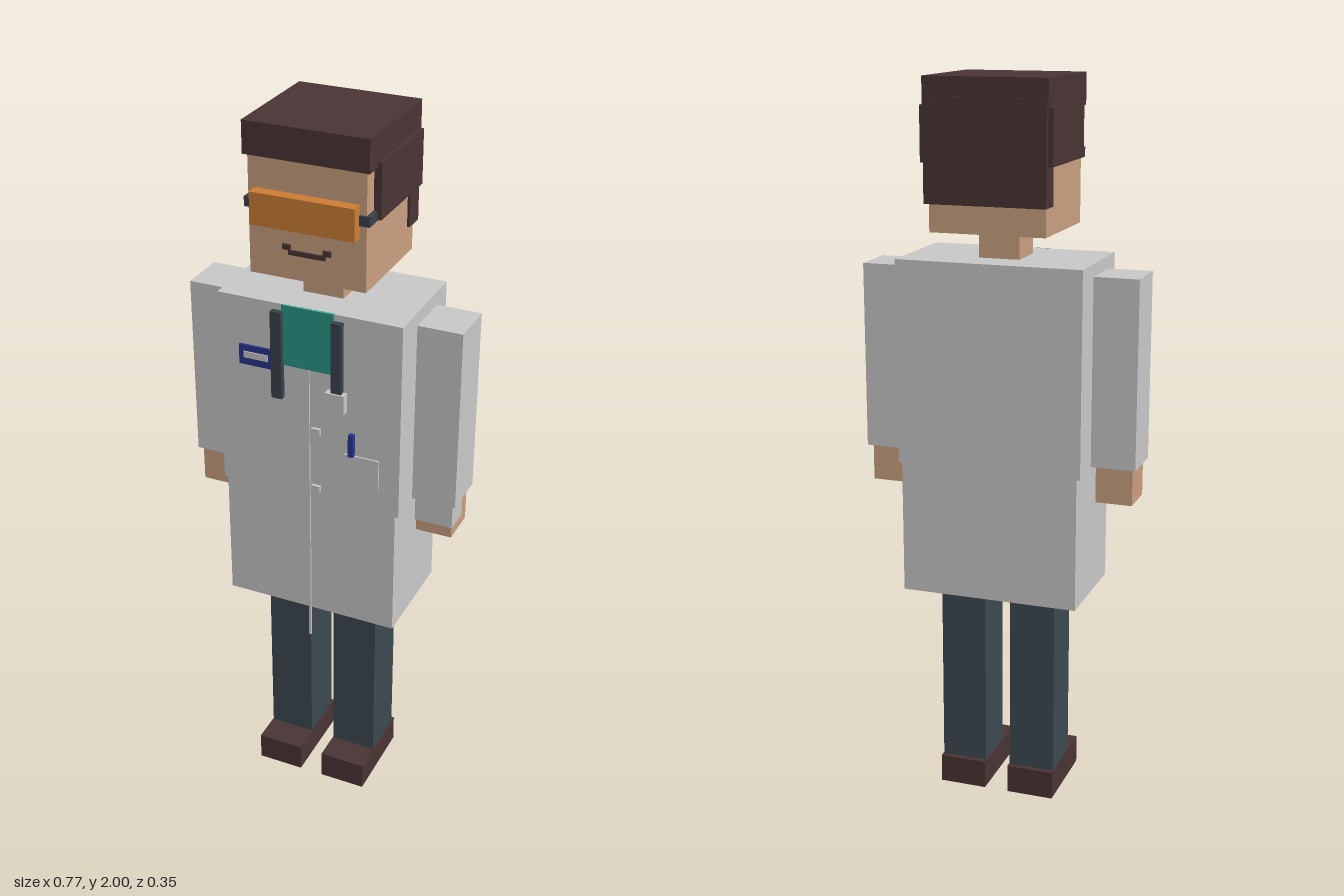
import * as THREE from 'three';

const mat = (name, color) => {
  const m = new THREE.MeshStandardMaterial({ color });
  m.name = name;
  return m;
};

export function createModel() {
  const model = new THREE.Group();
  model.name = 'figure';
  const skin = mat('skin', 0xc9a080);
  const brown = mat('dark brown', 0x4a3434);
  const grey = mat('coat grey', 0xc8c8c8);
  const teal = mat('teal shirt', 0x2a9687);
  const slate = mat('trouser slate', 0x3c4850);
  const dark = mat('dark slate', 0x39424a);
  const orange = mat('orange lens', 0xcc7d34);
  const navy = mat('navy', 0x28348c);

  // box given by its limits on x, y and z
  const box = (name, m, x0, x1, y0, y1, z0, z1) => {
    const mesh = new THREE.Mesh(new THREE.BoxGeometry(x1 - x0, y1 - y0, z1 - z0), m);
    mesh.position.set((x0 + x1) / 2, (y0 + y1) / 2, (z0 + z1) / 2);
    mesh.name = name;
    model.add(mesh);
  };
  // the same box on both sides
  const pair = (name, m, x0, x1, ...rest) => {
    box(name + 'Left', m, x0, x1, ...rest);
    box(name + 'Right', m, -x1, -x0, ...rest);
  };

  // head and neck
  box('head', skin, -0.158, 0.158, 1.605, 1.92, -0.157, 0.143);
  box('neck', skin, -0.056, 0.056, 1.52, 1.61, -0.062, 0.048);

  // hair
  box('hairTop', brown, -0.168, 0.168, 1.915, 2, -0.172, 0.152);
  box('hairBack', brown, -0.165, 0.165, 1.68, 1.95, -0.177, -0.118);
  pair('hairSide', brown, 0.15, 0.178, 1.783, 1.928, -0.165, 0.102);

  // glasses
  box('lens', orange, -0.14, 0.14, 1.747, 1.832, 0.143, 0.176);
  box('glassesBand', dark, -0.168, 0.168, 1.78, 1.806, 0.05, 0.149);

  // mouth
  box('mouth', brown, -0.05, 0.05, 1.672, 1.684, 0.14, 0.149);
  pair('mouthCorner', brown, 0.044, 0.066, 1.684, 1.698, 0.14, 0.149);

  // coat
  box('coatBody', grey, -0.257, 0.257, 0.975, 1.53, -0.158, 0.141);
  box('coatSkirt', grey, -0.247, 0.247, 0.608, 0.975, -0.157, 0.14);
  box('coatSeam', grey, -0.003, 0.003, 0.515, 1.36, 0.138, 0.146);
  for (const y of [1.0, 1.175]) box('button', grey, 0.009, 0.034, y, y + 0.018, 0.138, 0.15);
  box('pocket', grey, 0.1, 0.2, 1.045, 1.135, 0.138, 0.146);
  box('pen', navy, 0.117, 0.131, 1.135, 1.2, 0.14, 0.155);

  // shirt opening, stethoscope and badge
  box('shirt', teal, -0.074, 0.072, 1.36, 1.53, 0.137, 0.145);
  box('tubeRight', dark, -0.1, -0.07, 1.265, 1.512, 0.138, 0.158);
  box('tubeLeft', dark, 0.069, 0.098, 1.315, 1.512, 0.138, 0.158);
  box('chestPiece', grey, 0.055, 0.108, 1.26, 1.315, 0.138, 0.163);
  box('badge', navy, -0.196, -0.1, 1.34, 1.396, 0.139, 0.148);
  box('badgeStrip', grey, -0.182, -0.112, 1.361, 1.379, 0.142, 0.151);

  // arms and hands
  pair('sleeve', grey, 0.262, 0.384, 0.99, 1.5, -0.077, 0.057);
  pair('hand', skin, 0.272, 0.373, 0.888, 0.995, -0.062, 0.047);
  box('cuffLeft', grey, 0.27, 0.376, 0.922, 0.988, -0.022, 0.053);

  // legs and shoes
  pair('leg', slate, 0.036, 0.165, 0.08, 0.61, -0.08, 0.063);
  pair('shoe', brown, 0.034, 0.167, 0, 0.08, -0.095, 0.147);

  return model;
}
